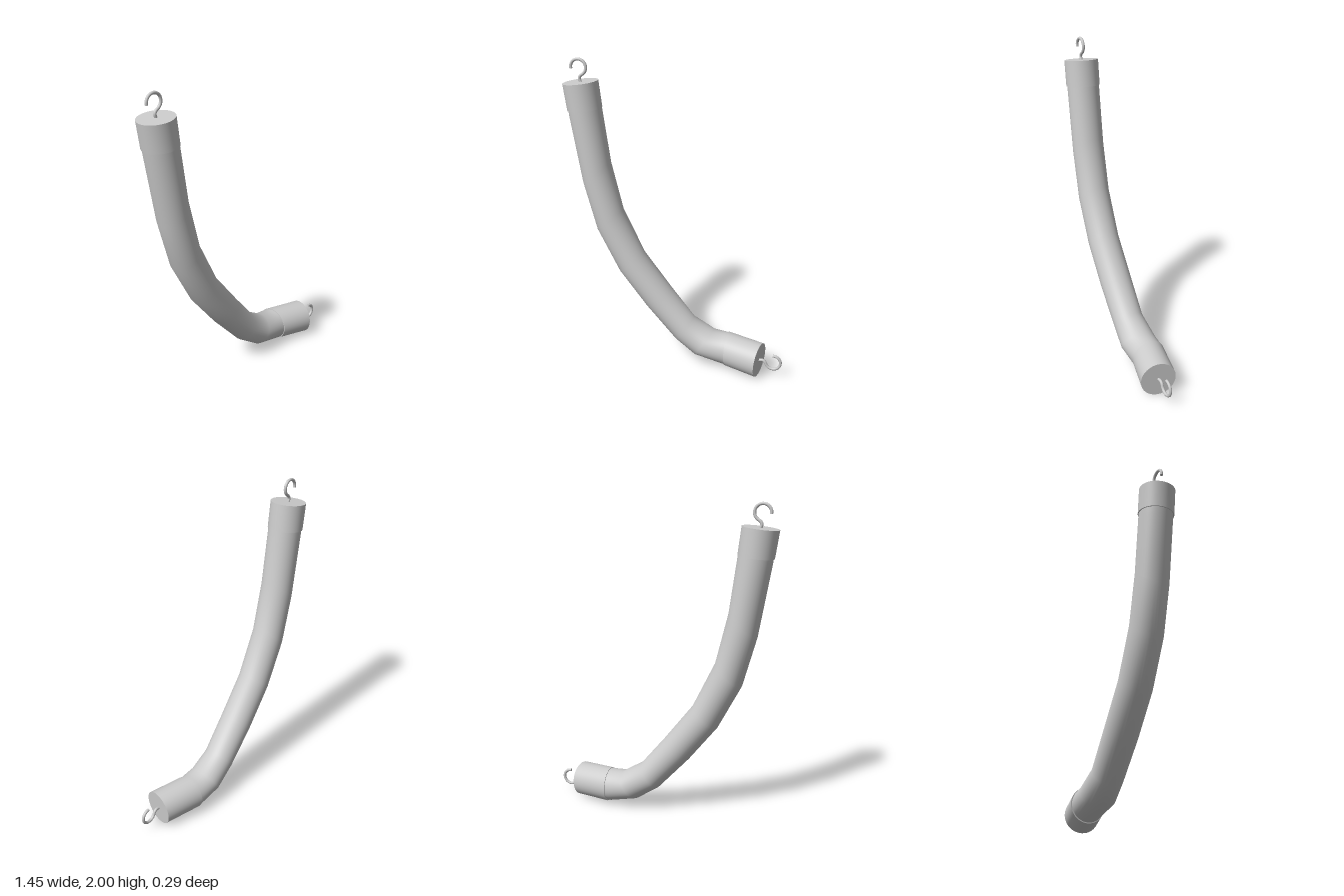
import * as THREE from 'three';

const SIDES = 40;
const material = new THREE.MeshStandardMaterial({ color: 0xcccccc });

// Closed loft through rings [cx, cy, cz, ax, ay, bx, bz];
// a = (ax, ay, 0) and b = (bx, 0, bz) are the half axes of each ring.
function loft(name, rings) {
  const pos = [], index = [];
  const addRing = ([cx, cy, cz, ax, ay, bx, bz]) => {
    const first = pos.length / 3;
    for (let j = 0; j < SIDES; j++) {
      const t = (j / SIDES) * Math.PI * 2, c = Math.cos(t), s = Math.sin(t);
      pos.push(cx + ax * c + bx * s, cy + ay * c, cz + bz * s);
    }
    return first;
  };
  // Side wall, with shared vertices for smooth shading
  const starts = rings.map(addRing);
  for (let i = 0; i < rings.length - 1; i++) {
    for (let j = 0; j < SIDES; j++) {
      const k = (j + 1) % SIDES, p = starts[i], q = starts[i + 1];
      index.push(p + j, p + k, q + j, p + k, q + k, q + j);
    }
  }
  // Flat ends, with their own vertices for a crisp rim
  for (const end of [false, true]) {
    const ring = end ? rings[rings.length - 1] : rings[0];
    const p = addRing(ring), centre = pos.length / 3;
    pos.push(ring[0], ring[1], ring[2]);
    for (let j = 0; j < SIDES; j++) {
      const k = (j + 1) % SIDES;
      if (end) index.push(centre, p + j, p + k);
      else index.push(centre, p + k, p + j);
    }
  }
  const g = new THREE.BufferGeometry();
  g.setAttribute('position', new THREE.Float32BufferAttribute(pos, 3));
  g.setIndex(index);
  g.computeVertexNormals();
  const mesh = new THREE.Mesh(g, material);
  mesh.name = name;
  return mesh;
}

// Wire hook standing on the origin along +y
function hook(name) {
  const R = 0.049, wire = 0.0095, cy = 0.088;
  const points = [[0, -0.02], [0, 0], [-0.003, 0.02], [0.006, 0.035]];
  for (let deg = -55; deg <= 185; deg += 20) {
    const t = THREE.MathUtils.degToRad(deg);
    points.push([R * Math.cos(t), cy + R * Math.sin(t)]);
  }
  const path = new THREE.CatmullRomCurve3(points.map(([x, y]) => new THREE.Vector3(x, y, 0)));
  const group = new THREE.Group();
  group.name = name;
  const bar = new THREE.Mesh(new THREE.TubeGeometry(path, 64, wire, 10), material);
  bar.name = name + 'Wire';
  group.add(bar);
  // Flat cut at the free end
  const tip = new THREE.Mesh(new THREE.CircleGeometry(wire, 10), material);
  tip.name = name + 'Tip';
  tip.position.copy(path.getPoint(1));
  tip.quaternion.setFromUnitVectors(new THREE.Vector3(0, 0, 1), path.getTangent(1));
  group.add(tip);
  return group;
}

export function createModel() {
  const model = new THREE.Group();
  model.name = 'bentHoseWithHooks';

  // Curved hose, from the upper end to the lower end
  model.add(loft('hose', [
    [-0.598, 1.74, -0.035, 0.104, 0.012, 0, 0.105],
    [-0.587, 1.66, -0.035, 0.103, 0.016, 0, 0.105],
    [-0.528, 1.28, -0.035, 0.088, 0.07, 0, 0.105],
    [-0.448, 0.97, -0.035, 0.083, 0.07, 0, 0.105],
    [-0.305, 0.685, -0.035, 0.08, 0.065, 0, 0.105],
    [-0.12, 0.448, -0.035, 0.08, 0.063, 0, 0.105],
    [0.058, 0.243, -0.034, 0.058, 0.078, 0, 0.101],
    [0.195, 0.155, -0.034, 0.055, 0.085, -0.012, 0.113],
    [0.33, 0.132, -0.03, 0.003, 0.106, 0, 0.108],
    [0.4, 0.127, -0.015, 0, 0.106, 0, 0.106],
  ]));

  // End sleeves
  model.add(loft('upperSleeve', [
    [-0.615, 1.856, -0.035, 0.11, 0.0125, 0, 0.111],
    [-0.593, 1.69, -0.035, 0.108, 0.011, 0, 0.111],
  ]));
  model.add(loft('lowerSleeve', [
    [0.348, 0.13, -0.028, 0, 0.111, 0, 0.113],
    [0.577, 0.117, 0.034, 0.005, 0.111, -0.021, 0.11],
  ]));

  // Hooks
  const upperHook = hook('upperHook');
  upperHook.position.set(-0.615, 1.856, -0.035);
  upperHook.rotation.z = 0.11;
  const lowerHook = hook('lowerHook');
  lowerHook.position.set(0.579, 0.117, 0.032);
  lowerHook.rotation.z = -Math.PI / 2 - 0.05;
  model.add(upperHook, lowerHook);
  return model;
}
